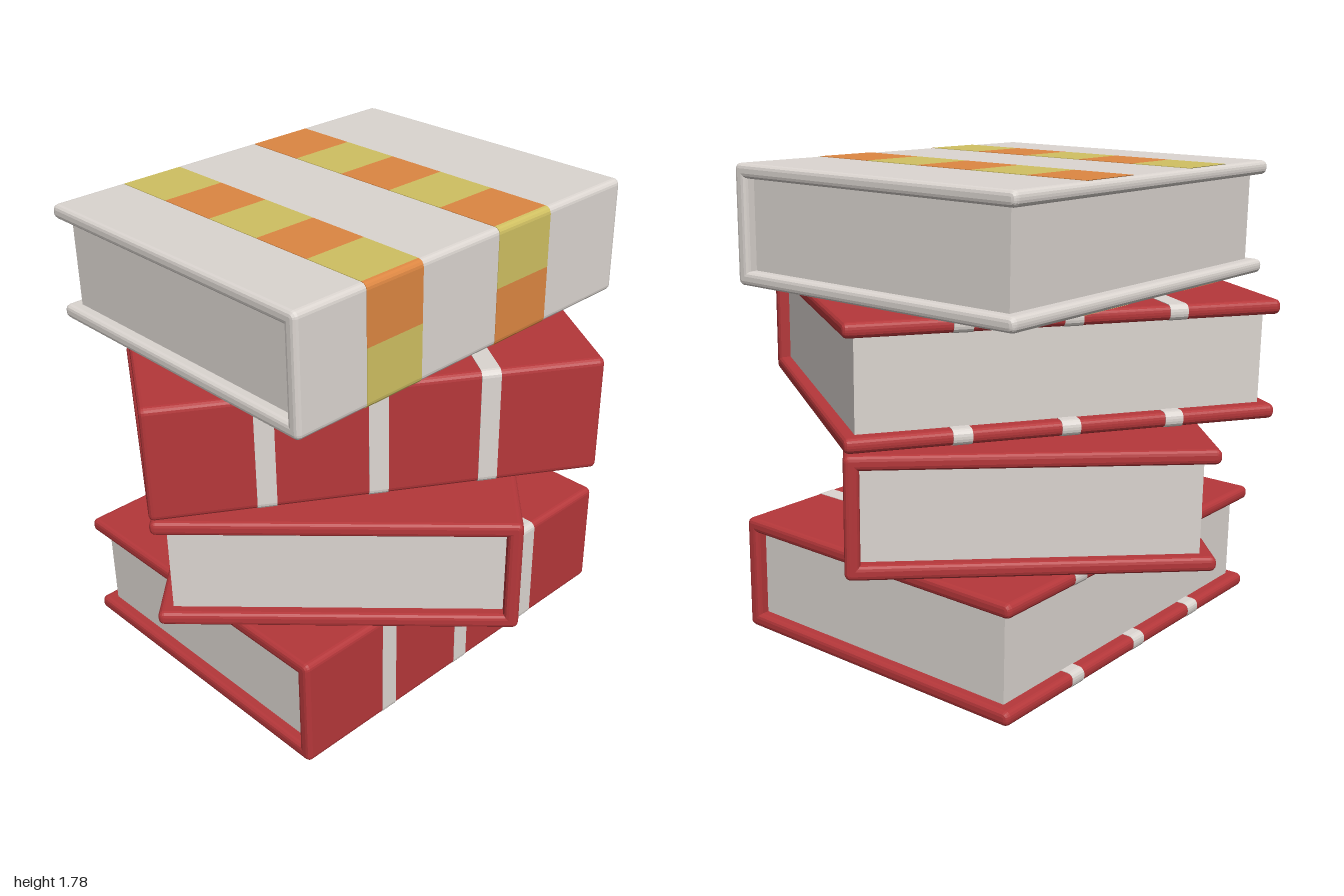
import * as THREE from 'three';

const W = 1.575, H = 0.435, D = 1.26; // along the spine, thickness, spine to fore-edge
const T = 0.053, R = 0.022, PITCH = 0.44;

const flat = (name, color) => {
  const m = new THREE.MeshStandardMaterial({ color });
  m.name = name;
  return m;
};

export function createModel() {
  const red = flat('red', 0xb5373a);
  const white = flat('offWhite', 0xdcd6d1);
  const orange = flat('orange', 0xdd8742);
  const yellow = flat('yellow', 0xd0c062);

  const add = (parent, name, geometry, material) => {
    const mesh = new THREE.Mesh(geometry, material);
    mesh.name = name;
    parent.add(mesh);
    return mesh;
  };

  // quarter-turn (or longer) arc points, angles in units of 90 degrees
  const arc = (cz, cy, r, from, to, n = 4) =>
    Array.from({ length: n + 1 }, (_, i) => {
      const a = (from + ((to - from) * i) / n) * Math.PI / 2;
      return new THREE.Vector2(cz + r * Math.cos(a), cy + r * Math.sin(a));
    });

  // C-shaped cover section in (z, y), enlarged by g for painted bands
  const coverShape = (g = 0) => {
    const z = D / 2 + g, y = H / 2 + g, t = T + 2 * g, r = R + g;
    return new THREE.Shape([
      ...arc(z - r, -y + r, r, -1, 0),
      ...arc(z - r, y - r, r, 0, 1),
      ...arc(-z + r, y - r, r, 1, 2),
      ...arc(-z + r, y - t + r, r, 2, 3),
      new THREE.Vector2(z - t, y - t),
      new THREE.Vector2(z - t, -y + t),
      ...arc(-z + r, -y + t - r, r, 1, 2),
      ...arc(-z + r, -y + r, r, 2, 3),
    ]);
  };

  // extrude a (z, y) section along x, centred on cx
  const alongX = (shape, length, cx = 0, bevel = 0) => {
    const depth = length - 2 * bevel;
    const geo = new THREE.ExtrudeGeometry(shape, {
      depth, curveSegments: 4, bevelEnabled: bevel > 0, bevelThickness: bevel,
      bevelSize: bevel, bevelOffset: -bevel, bevelSegments: 3,
    });
    geo.translate(0, 0, -depth / 2);
    geo.rotateY(-Math.PI / 2);
    geo.translate(cx, 0, 0);
    return geo;
  };

  const makeBook = (name, coverMaterial) => {
    const book = new THREE.Group();
    book.name = name;
    add(book, 'cover', alongX(coverShape(), W, 0, 0.018), coverMaterial);
    const depth = D - T - 0.05;
    const pages = add(book, 'pages', new THREE.BoxGeometry(W - 0.09, H - 2 * T + 0.004, depth), white);
    pages.position.z = D / 2 - T + 0.002 - depth / 2;
    return book;
  };

  // three bands wrapped round a red cover
  const addBands = (book) => {
    for (const x of [-0.387, 0, 0.387]) add(book, 'band', alongX(coverShape(0.002), 0.068, x), white);
  };

  // thin painted tile following an outer line of the section
  const addTile = (book, outer, x0, x1, material) => {
    const inner = outer.map((p) => new THREE.Vector2(p.x * 0.994, p.y * 0.98)).reverse();
    add(book, 'tile', alongX(new THREE.Shape([...outer, ...inner]), x1 - x0, (x0 + x1) / 2), material);
  };

  // columns of alternating tiles over top, spine and underside
  const addTiles = (book) => {
    const g = 0.002, z = D / 2 - R, y = H / 2;
    const step = (2 * z) / 5;
    [[-0.493, -0.243], [0.122, 0.388]].forEach(([x0, x1], column) => {
      const pick = (n) => ((n + column) % 2 ? orange : yellow);
      for (const side of [1, -1]) {
        const flip = (pts) => pts.map((p) => new THREE.Vector2(p.x, p.y * side));
        for (let i = 0; i < 5; i++) {
          const a = -z + i * step;
          const line = [new THREE.Vector2(a + step, y + g), new THREE.Vector2(a, y + g)];
          addTile(book, flip(line), x0, x1, pick(side > 0 ? i : i + 1));
        }
        const half = [new THREE.Vector2(D / 2 + g, 0), ...arc(z, y - R, R + g, 0, 1)];
        addTile(book, flip(half), x0, x1, side > 0 ? pick(1) : pick(0));
      }
    });
  };

  // stack, leaning slightly to the back
  const stack = new THREE.Group();
  stack.name = 'bookStack';
  [0.024, 0.8, -0.54, 0.024].forEach((turn, i) => {
    const top = i === 3;
    const book = makeBook(top ? 'topBook' : 'redBook' + (i + 1), top ? white : red);
    if (top) addTiles(book);
    else addBands(book);
    book.position.set(i === 0 || top ? 0.005 : 0, H / 2 + i * PITCH, 0.01);
    book.rotation.y = turn;
    stack.add(book);
  });
  stack.rotation.x = -0.02;
  stack.position.y = 0.013;

  const model = new THREE.Group();
  model.name = 'books';
  model.add(stack);
  return model;
}
